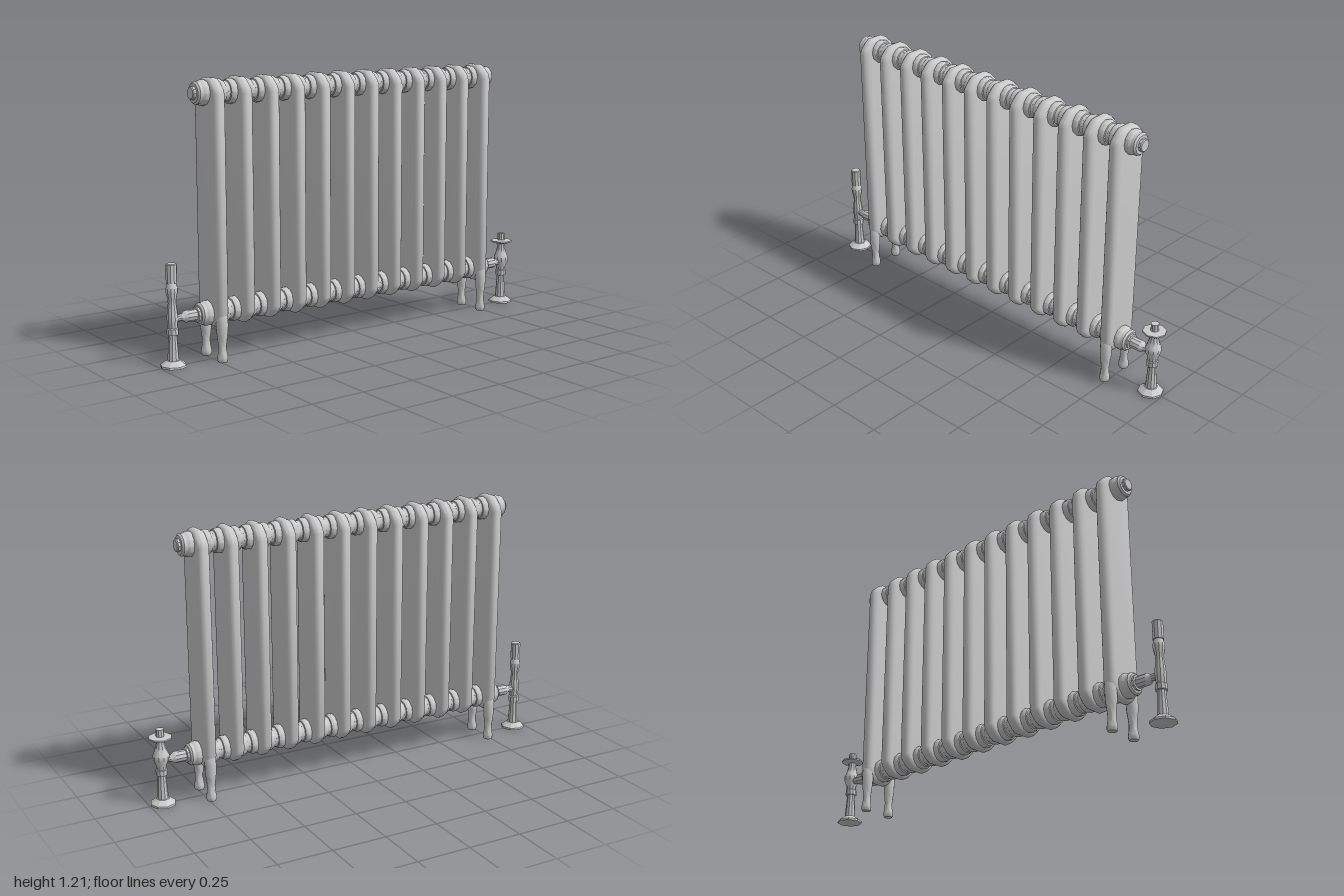
import * as THREE from 'three';
import { toCreasedNormals } from 'three/addons/utils/BufferGeometryUtils.js';

const material = new THREE.MeshStandardMaterial({ color: 0xcccccc });
const SECTIONS = 12, PITCH = 0.1345, TOP = 1.15, LOW = 0.208;

// turned part from [radius, height] pairs
function turned(pairs, sides, crease = 0.6) {
  const pts = pairs.map(([r, h]) => new THREE.Vector2(r, h));
  return toCreasedNormals(new THREE.LatheGeometry(pts, sides), crease);
}

function add(parent, name, geometry, x = 0, y = 0, z = 0) {
  const mesh = new THREE.Mesh(geometry, material);
  mesh.name = name;
  mesh.position.set(x, y, z);
  parent.add(mesh);
  return mesh;
}

// slab with chamfered ends and well rounded edges
function columnGeometry() {
  const half = [[0.094, 0.21], [0.094, 1.145], [0.085, 1.17], [0.055, 1.2], [0.035, 1.212]];
  const low = [[0.035, 0.148], [0.06, 0.162], [0.085, 0.188]];
  const right = [...low, ...half];
  const left = right.map(([z, y]) => [-z, y]).reverse();
  const shape = new THREE.Shape([...right, ...left].map(([z, y]) => new THREE.Vector2(z, y)));
  const geo = new THREE.ExtrudeGeometry(shape, {
    depth: 0.008, bevelThickness: 0.024, bevelSize: 0.028, bevelOffset: -0.028, bevelSegments: 5,
  });
  geo.translate(0, 0, -0.004);
  geo.rotateY(Math.PI / 2);
  return toCreasedNormals(geo, 0.75);
}

export function createModel() {
  const model = new THREE.Group();
  model.name = 'radiator';

  const column = columnGeometry();
  const hub = turned([
    [0, -0.0672], [0.044, -0.0672], [0.045, -0.058], [0.05, -0.056], [0.055, -0.046], [0.055, -0.03],
    [0.05, -0.02], [0.05, 0.02],
    [0.055, 0.03], [0.055, 0.046], [0.05, 0.056], [0.045, 0.058], [0.044, 0.0672], [0, 0.0672],
  ], 12).rotateZ(-Math.PI / 2);
  const leg = turned([
    [0, 0], [0.019, 0], [0.023, 0.008], [0.023, 0.022], [0.019, 0.045], [0.018, 0.07],
    [0.021, 0.1], [0.025, 0.13], [0.026, 0.17], [0.024, 0.23], [0, 0.25],
  ], 12, 0.9);

  // repeated sections, with feet on the two end ones
  for (let i = 0; i < SECTIONS; i++) {
    const x = (i - (SECTIONS - 1) / 2) * PITCH;
    const section = new THREE.Group();
    section.name = 'section';
    section.position.x = x;
    model.add(section);
    add(section, 'column', column);
    add(section, 'topHub', hub, 0, TOP);
    add(section, 'bottomHub', hub, 0, LOW);
    if (i === 0 || i === SECTIONS - 1) {
      for (const s of [-1, 1]) add(section, 'leg', leg, 0, 0, s * 0.069);
    }
  }

  // end bushings, top plugs and valve pipes
  const bushing = turned([[0, 0.79], [0.05, 0.79], [0.05, 0.81], [0.042, 0.818], [0, 0.818]], 12);
  const plug = turned([[0, 0.81], [0.029, 0.81], [0.029, 0.829], [0.025, 0.833], [0, 0.833]], 10);
  const pipe = turned([
    [0, 0.81], [0.034, 0.81], [0.034, 0.828], [0.026, 0.83], [0.026, 0.88],
    [0.021, 0.887], [0.016, 0.895], [0.016, 0.94], [0, 0.94],
  ], 10);
  for (const s of [-1, 1]) {
    const end = new THREE.Group();
    end.name = s > 0 ? 'leftEndFittings' : 'rightEndFittings';
    model.add(end);
    const fittings = [['topBushing', bushing, TOP], ['topPlug', plug, TOP],
      ['bottomBushing', bushing, LOW], ['valvePipe', pipe, LOW]];
    for (const [name, geo, y] of fittings) {
      add(end, name, geo, 0, y).rotation.z = -s * Math.PI / 2;
    }
  }

  // floor flange and riser shared by both valves
  const flange = turned([
    [0, 0], [0.058, 0], [0.057, 0.009], [0.042, 0.02], [0.03, 0.029], [0, 0.031],
  ], 8, 0.4);
  const riser = turned([
    [0, 0.02], [0.026, 0.02], [0.024, 0.05], [0.019, 0.125], [0.019, 0.138],
    [0.026, 0.14], [0.026, 0.165], [0.02, 0.17], [0, 0.17],
  ], 10);

  const makeValve = (name, x) => {
    const valve = new THREE.Group();
    valve.name = name;
    valve.position.x = x;
    model.add(valve);
    add(valve, 'flange', flange);
    add(valve, 'riser', riser);
    return valve;
  };

  // hand wheel valve
  const wheelValve = makeValve('wheelValve', 0.94);
  add(wheelValve, 'body', turned([
    [0, 0.165], [0.022, 0.165], [0.024, 0.185], [0.035, 0.212], [0.036, 0.232],
    [0.028, 0.25], [0.019, 0.285], [0.019, 0.306], [0, 0.306],
  ], 10));
  add(wheelValve, 'wheel', turned([
    [0, 0.302], [0.03, 0.303], [0.053, 0.31], [0.053, 0.317], [0.03, 0.32], [0, 0.32],
  ], 8, 0.4));
  add(wheelValve, 'spindle', turned([[0, 0.315], [0.018, 0.315], [0.018, 0.353], [0, 0.353]], 10));

  // tall valve with a cylinder handle
  const tallValve = makeValve('tallValve', -0.94);
  add(tallValve, 'body', turned([
    [0, 0.165], [0.021, 0.165], [0.023, 0.19], [0.025, 0.21], [0.022, 0.245], [0.018, 0.275],
    [0.019, 0.295], [0.026, 0.325], [0.026, 0.342], [0.018, 0.365], [0, 0.365],
  ], 10));
  add(tallValve, 'handle', turned([
    [0, 0.363], [0.024, 0.363], [0.024, 0.442], [0.021, 0.446], [0, 0.446],
  ], 10));

  return model;
}
